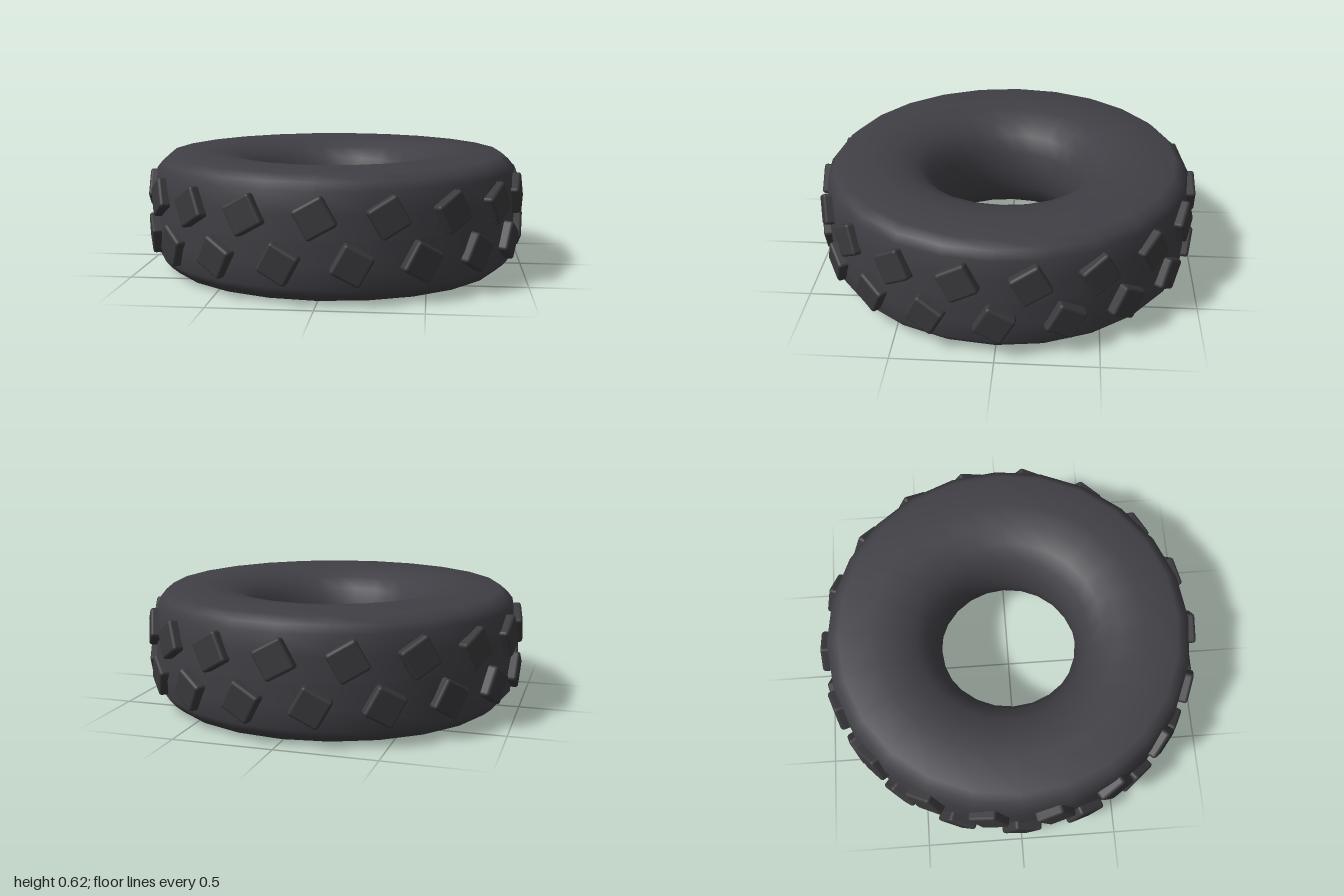
import * as THREE from 'three';
import { RoundedBoxGeometry } from 'three/addons/geometries/RoundedBoxGeometry.js';

const MID = 0.308; // height of the tyre's middle plane
const LUGS = 18; // tread blocks per row

export function createModel() {
  const tyre = new THREE.Group();
  tyre.name = 'tyre';
  const rubber = new THREE.MeshStandardMaterial({ color: 0x403f45 });
  rubber.name = 'rubber';
  const treadRubber = new THREE.MeshStandardMaterial({ color: 0x39393c });
  treadRubber.name = 'tread rubber';

  // Upper half of the cross-section: [radius, height above the middle],
  // from the tread centre over the sidewall to the inner hole
  const half = [
    [0.96, 0], [0.958, 0.12], [0.95, 0.225], [0.92, 0.262], [0.88, 0.296],
    [0.7, 0.308], [0.58, 0.294], [0.49, 0.257], [0.42, 0.2], [0.378, 0.11], [0.362, 0],
  ];
  const lower = half.slice(0, -1).map(([r, y]) => [r, -y]);
  const profile = [...lower, ...half.slice().reverse()];
  // Lower half runs outer to inner, so join it at the hole and return over the top
  const points = profile.map(([r, y]) => new THREE.Vector2(r, MID + y)).reverse();
  const body = new THREE.Mesh(new THREE.LatheGeometry(points, 24), rubber);
  body.name = 'tyreBody';
  // Lathe faces point outwards only when the profile runs anticlockwise
  let area = 0;
  points.forEach((p, i) => {
    const q = points[(i + 1) % points.length];
    area += p.x * q.y - q.x * p.y;
  });
  if (area < 0) {
    body.geometry.dispose();
    body.geometry = new THREE.LatheGeometry(points.reverse(), 24);
  }
  tyre.add(body);

  // Two staggered rows of tilted square tread blocks
  const lugGeometry = new RoundedBoxGeometry(0.158, 0.158, 0.1, 2, 0.016);
  for (const side of [1, -1]) {
    const row = new THREE.Group();
    row.name = side > 0 ? 'upperTreadRow' : 'lowerTreadRow';
    for (let i = 0; i < LUGS; i++) {
      const spoke = new THREE.Group();
      spoke.name = 'treadBlockMount';
      spoke.rotation.y = ((i + (side > 0 ? 0 : 0.5)) / LUGS) * Math.PI * 2;
      const lug = new THREE.Mesh(lugGeometry, treadRubber);
      lug.name = 'treadBlock';
      lug.position.set(0, MID + side * 0.106, 0.944);
      lug.rotation.set(-side * 0.06, 0, side * 0.51);
      spoke.add(lug);
      row.add(spoke);
    }
    tyre.add(row);
  }
  return tyre;
}
